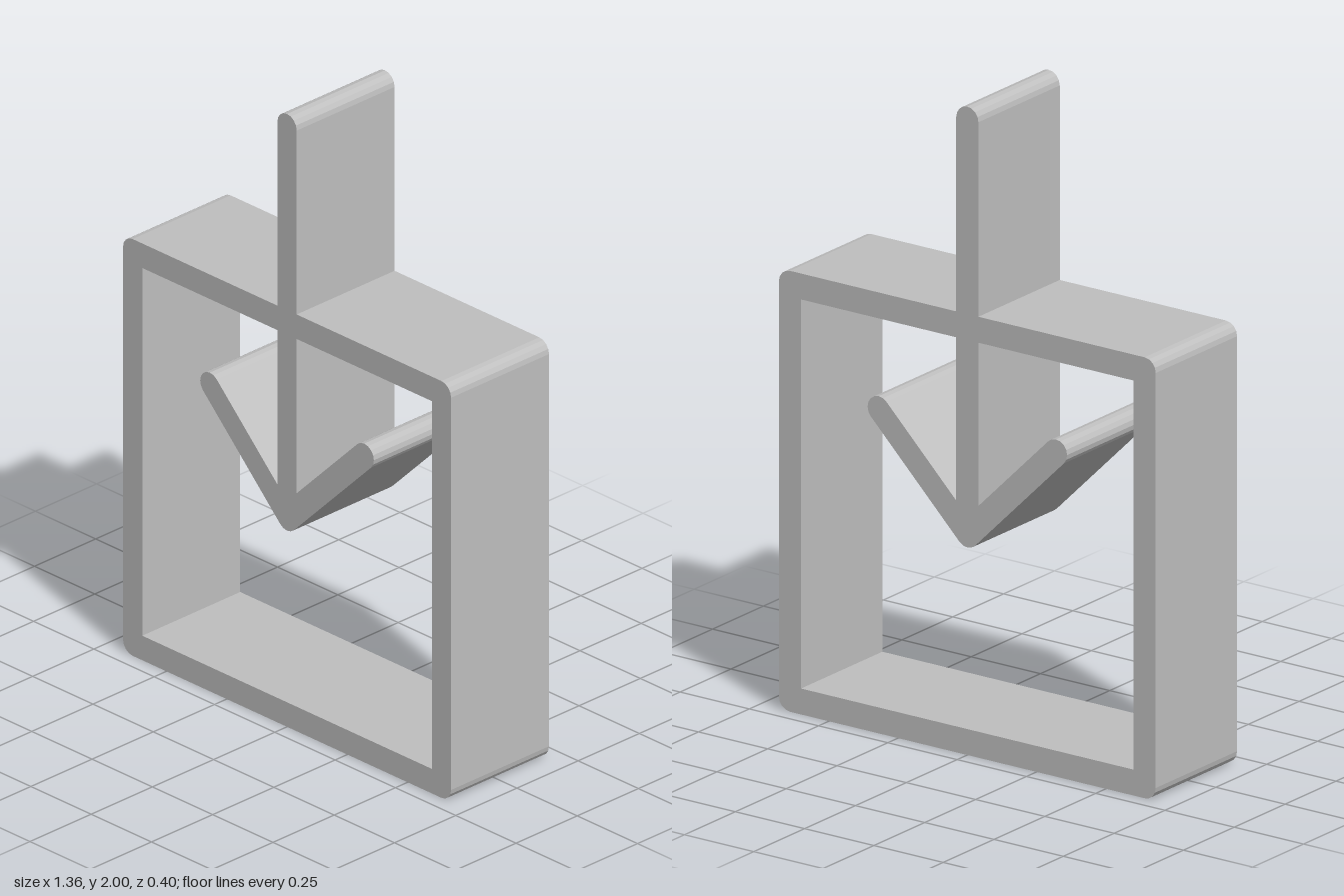
import * as THREE from 'three';

const R = 0.04;        // half the bar thickness, also the rounding radius
const DEPTH = 0.4;
const PI = Math.PI;

// Adds an arc as quarter turns so every rounding has the same facet size
function arc(shape, x, y, from, turn) {
  const n = Math.round(turn / (PI / 2));
  for (let i = 0; i < n; i++) {
    shape.absarc(x, y, R, from + i * PI / 2, from + (i + 1) * PI / 2, false);
  }
}

export function createModel() {
  const group = new THREE.Group();
  const grey = new THREE.MeshStandardMaterial({ color: 0xbfbfbf });
  grey.name = 'light grey';

  function add(name, shape) {
    const geometry = new THREE.ExtrudeGeometry(shape, { depth: DEPTH, bevelEnabled: false, curveSegments: 2 });
    geometry.translate(0, 0, -DEPTH / 2);
    const mesh = new THREE.Mesh(geometry, grey);
    mesh.name = name;
    group.add(mesh);
  }

  // Square frame with rounded outer corners and a sharp opening
  const frame = new THREE.Shape();
  frame.moveTo(-0.64, 0);
  arc(frame, 0.64, R, -PI / 2, PI / 2);
  arc(frame, 0.64, 1.32, 0, PI / 2);
  arc(frame, -0.64, 1.32, PI / 2, PI / 2);
  arc(frame, -0.64, R, PI, PI / 2);
  const opening = new THREE.Path();
  opening.moveTo(-0.6, 0.08);
  opening.lineTo(-0.6, 1.28);
  opening.lineTo(0.6, 1.28);
  opening.lineTo(0.6, 0.08);
  opening.closePath();
  frame.holes.push(opening);
  add('frame', frame);

  // Shaft standing above the frame, with a round end
  const shaft = new THREE.Shape();
  shaft.moveTo(-R, 1.36);
  shaft.lineTo(R, 1.36);
  arc(shaft, 0, 2 - R, 0, PI);
  shaft.closePath();
  add('upperShaft', shaft);

  // Lower shaft and the two arms of the arrowhead, in one outline
  const notchY = 0.68 + R + R * Math.SQRT2;
  const head = new THREE.Shape();
  head.moveTo(-R, 1.28);
  head.lineTo(-R, notchY);
  arc(head, -0.32, 1, PI / 4, PI);
  arc(head, 0, 0.68, PI * 5 / 4, PI / 2);
  arc(head, 0.32, 1, -PI / 4, PI);
  head.lineTo(R, notchY);
  head.lineTo(R, 1.28);
  head.closePath();
  add('arrowhead', head);

  return group;
}
